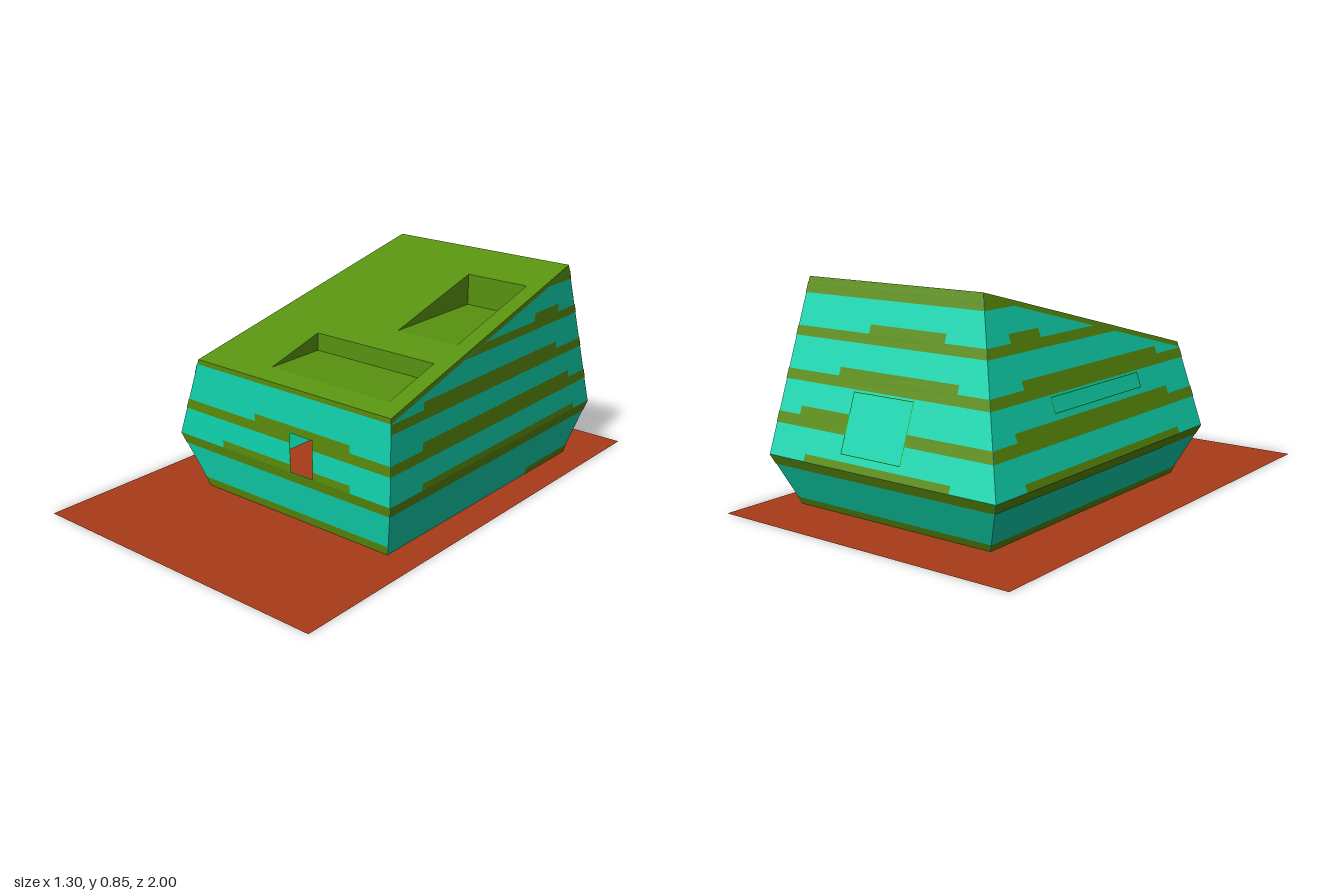
import * as THREE from 'three';

const TEAL = 0x10d6b0, OLIVE = 0x5a8c0c, ROOF = 0x589210, GROUND = 0xa83c18, GREEN = 0x14b414;
const BELLY = 0.21, EAVE = 0.54, RIDGE = 0.845, SLAB = 0.02, PITCH = (RIDGE - EAVE) / 1.115;

// Wall positions at height y: the sides lean out to the belly line, then in (or straight) above it
const lean = (base, belly, slope) => y =>
  y < BELLY ? base + (belly - base) * y / BELLY : belly + slope * (y - BELLY);
const front = lean(0.44, 0.48, 0), back = lean(-0.75, -0.865, 0.362);
const right = lean(0.52, 0.56, 0), left = lean(-0.38, -0.495, 0.36);
const roofY = z => EAVE + (0.48 - z) * PITCH;
const eaveZ = y => Math.min(front(y), 0.48 - (y - EAVE + SLAB) / PITCH); // wall end under the roof

// Each wall runs left to right (u) as seen from outside; e pushes out from the surface
const walls = {
  front: { at: (u, y, e) => [u, y, front(y) + e], lo: left, hi: right },
  right: { at: (u, y, e) => [right(y) + e, y, -u], lo: y => -eaveZ(y), hi: y => -back(y) },
  back: { at: (u, y, e) => [-u, y, back(y) - e], lo: y => -right(y), hi: y => -left(y) },
  left: { at: (u, y, e) => [left(y) - e, y, u], lo: back, hi: eaveZ },
};

// Quad of a wall from y0 to y1, clipped to the wall's own ends
function strip(w, y0, y1, u0 = -9, u1 = 9, e = 0) {
  const p = (u, y) => w.at(Math.min(Math.max(u, w.lo(y)), w.hi(y)), y, e);
  return [p(u0, y0), p(u1, y0), p(u1, y1), p(u0, y1)];
}

// Mesh from a list of quads or triangles
function part(name, color, faces) {
  const pos = [];
  for (const f of faces)
    for (let i = 1; i < f.length - 1; i++) pos.push(...f[0], ...f[i], ...f[i + 1]);
  const g = new THREE.BufferGeometry();
  g.setAttribute('position', new THREE.Float32BufferAttribute(pos, 3));
  g.computeVertexNormals();
  return mesh(name, color, g);
}

function mesh(name, color, geometry) {
  const m = new THREE.Mesh(geometry, new THREE.MeshStandardMaterial({ color, side: THREE.DoubleSide }));
  m.name = name;
  return m;
}

// Thin border around a rectangle on a wall
function frame(w, y0, y1, u0, u1, e, t = 0.004) {
  return [
    strip(w, y0, y1, u0 - t, u0, e), strip(w, y0, y1, u1, u1 + t, e),
    strip(w, y1, y1 + t, u0 - t, u1 + t, e), strip(w, y0 - t, y0, u0 - t, u1 + t, e),
  ];
}

export function createModel() {
  const model = new THREE.Group();
  model.name = 'house';

  // Ground sheet
  const ground = new THREE.PlaneGeometry(1.3, 2).rotateX(-Math.PI / 2);
  model.add(mesh('ground', GROUND, ground));

  // Walls, with the door opening left out of the front
  const top = RIDGE - SLAB, door = [0.095, 0.205, 0.365];
  const shell = {
    front: [[0, BELLY], [BELLY, door[2], -9, door[0]], [BELLY, door[2], door[1], 9], [door[2], EAVE - SLAB]],
    right: [[0, BELLY], [BELLY, EAVE - SLAB], [EAVE - SLAB, top]],
    back: [[0, BELLY], [BELLY, top]],
    left: [[0, BELLY], [BELLY, EAVE - SLAB], [EAVE - SLAB, top]],
  };

  // Olive cladding bands: y0, y1 and optional u range
  const sides = [[0.17, BELLY], [0.325, 0.365], [0.48, 0.517], [0.635, 0.67], [0.787, top]];
  const bands = {
    front: [
      [0, 0.035], [0.17, BELLY],
      [BELLY, 0.24, -0.255, door[0]], [BELLY, 0.24, door[1], 0.38],
      [0.325, 0.365, -9, door[0]], [0.325, 0.365, door[1], 9],
      [0.365, 0.395, -0.08, 0.38],
    ],
    right: [
      ...sides, [0, 0.03, 0.45, 9],
      [BELLY, 0.237, -0.3, 0.74], [0.365, 0.395, -0.3, 0.68],
      [0.517, 0.547, -0.3, 0.57], [0.67, 0.702, 0.4, 0.57],
    ],
    back: [
      ...sides, [0, 0.03],
      [BELLY, 0.237, -0.38, 0.3], [0.365, 0.395, -0.45, -0.2],
      [0.517, 0.547, -0.3, 0.25], [0.67, 0.702, -0.2, 0.15],
    ],
    left: [
      ...sides, [0, 0.03],
      [BELLY, 0.237, -0.7, 0.3], [0.365, 0.395, -0.68, 0.3],
      [0.517, 0.547, -0.57, 0.3], [0.67, 0.702, -0.57, -0.4],
    ],
  };
  for (const side in walls) {
    const w = walls[side];
    model.add(part(side + 'Wall', TEAL, shell[side].map(s => strip(w, ...s))));
    model.add(part(side + 'Bands', OLIVE,
      bands[side].map(([y0, y1, u0 = -9, u1 = 9]) => strip(w, y0, y1, u0, u1, 0.002))));
  }

  // Windows and door frame
  const panes = { back: [0.265, 0.47, -0.205, 0.07], left: [0.42, 0.47, -0.44, 0.12] };
  for (const side in panes) {
    model.add(part(side + 'Window', TEAL, [strip(walls[side], ...panes[side], 0.004)]));
    model.add(part(side + 'WindowFrame', GREEN, frame(walls[side], ...panes[side], 0.004, 0.003)));
  }
  model.add(part('doorFrame', GREEN, frame(walls.front, BELLY, door[2], door[0], door[1], 0.003, 0.003)));

  // Pitched roof with two terrace openings: x0, x1, back z, front z
  const terraces = [[-0.06, 0.49, 0.15, 0.405], [0.225, 0.495, -0.435, 0.02]];
  const rim = [EAVE, EAVE, RIDGE, RIDGE].map((y, i) => {
    const ring = d => [(i === 0 || i === 3 ? left : right)(y - d), y - d, (i < 2 ? front : back)(y - d)];
    return [ring(0), ring(SLAB)];
  });
  const shape = new THREE.Shape(rim.map(([p]) => new THREE.Vector2(p[0], -p[2])));
  for (const [x0, x1, z0, z1] of terraces)
    shape.holes.push(new THREE.Path([[x0, -z1], [x0, -z0], [x1, -z0], [x1, -z1]].map(p => new THREE.Vector2(...p))));
  const roof = new THREE.ShapeGeometry(shape).rotateX(-Math.PI / 2);
  const pos = roof.attributes.position;
  for (let i = 0; i < pos.count; i++) pos.setY(i, roofY(pos.getZ(i)));
  roof.computeVertexNormals();
  model.add(mesh('roof', ROOF, roof));
  model.add(part('roofEdge', OLIVE, rim.map(([t, b], i) => {
    const [t2, b2] = rim[(i + 1) % 4];
    return [b, b2, t2, t];
  })));

  // Terraces: level floor cut into the slope, back wall and triangular cheeks
  terraces.forEach(([x0, x1, z0, z1], i) => {
    const y = roofY(z1), h = roofY(z0);
    model.add(part('terrace' + (i + 1), ROOF, [
      [[x0, y, z1], [x1, y, z1], [x1, y, z0], [x0, y, z0]],
      [[x0, y, z0], [x1, y, z0], [x1, h, z0], [x0, h, z0]],
      [[x0, y, z1], [x0, y, z0], [x0, h, z0]],
      [[x1, y, z1], [x1, h, z0], [x1, y, z0]],
    ]));
  });
  return model;
}
